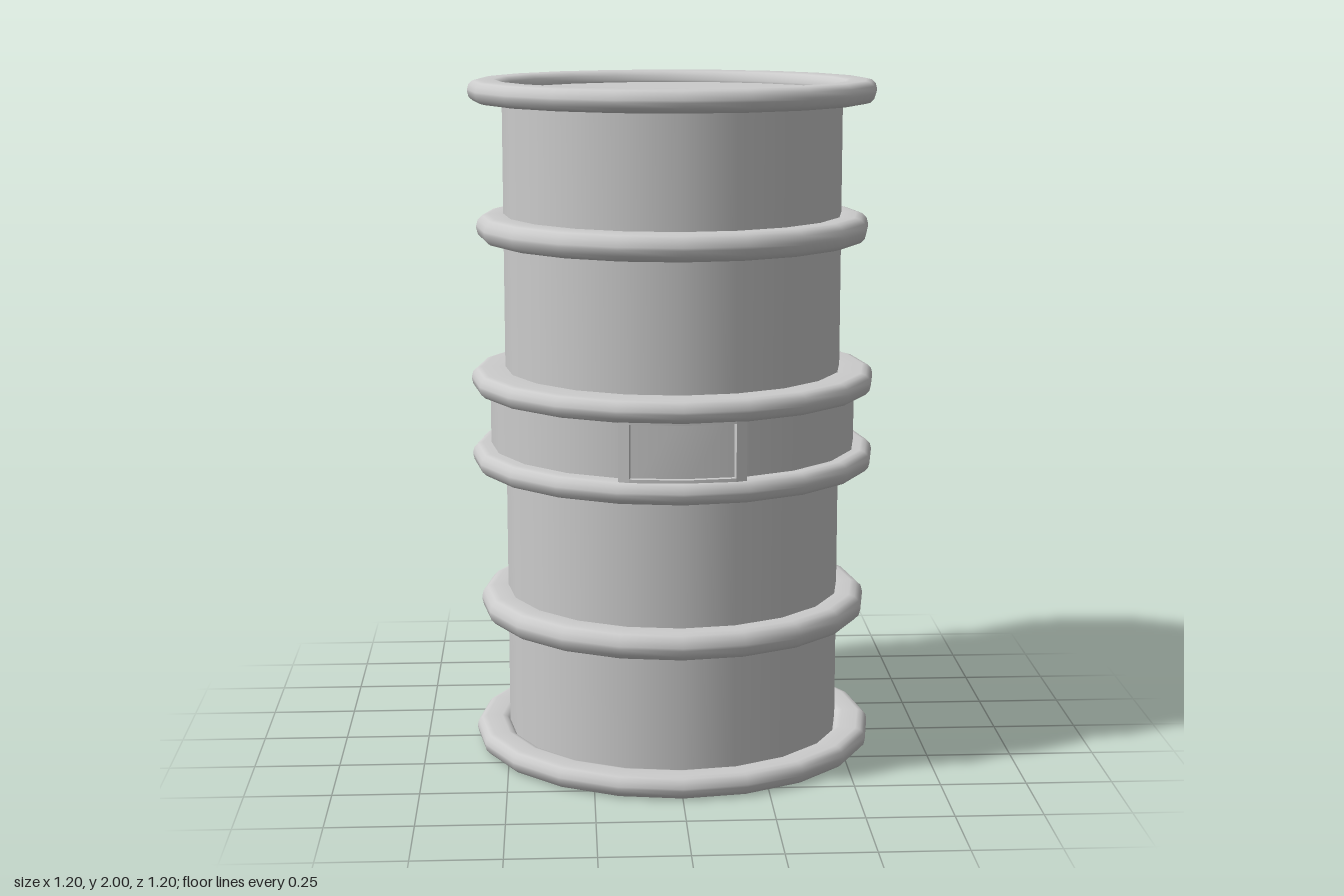
import * as THREE from 'three';

const SIDES = 20;
const material = new THREE.MeshStandardMaterial({ color: 0xcccccc });

function addMesh(group, name, geometry) {
  const mesh = new THREE.Mesh(geometry, material);
  mesh.name = name;
  group.add(mesh);
  return mesh;
}

// Closed hoop with a rounded rectangular cross-section
function hoopGeometry(inner, outer, bottom, top) {
  const corner = (top - bottom) * 0.45;
  const points = [];
  const corners = [
    [outer - corner, bottom + corner, -Math.PI / 2],
    [outer - corner, top - corner, 0],
    [inner + corner, top - corner, Math.PI / 2],
    [inner + corner, bottom + corner, Math.PI],
  ];
  for (const [r, y, start] of corners) {
    for (let i = 0; i <= 3; i++) {
      const a = start + (i / 3) * Math.PI / 2;
      points.push(new THREE.Vector2(r + corner * Math.cos(a), y + corner * Math.sin(a)));
    }
  }
  points.push(points[0].clone());
  return new THREE.LatheGeometry(points, SIDES);
}

// Box wrapped around the barrel: x becomes the angle, z the radius
function wrappedBox(a0, a1, y0, y1, r0, r1, segments) {
  const geometry = new THREE.BoxGeometry(a1 - a0, y1 - y0, r1 - r0, segments, 1, 1);
  geometry.translate((a0 + a1) / 2, (y0 + y1) / 2, (r0 + r1) / 2);
  const p = geometry.attributes.position;
  for (let i = 0; i < p.count; i++) {
    const a = p.getX(i), r = p.getZ(i);
    p.setXYZ(i, r * Math.sin(a), p.getY(i), r * Math.cos(a));
  }
  geometry.computeVertexNormals();
  return geometry;
}

export function createModel() {
  const barrel = new THREE.Group();
  barrel.name = 'barrel';

  // Drum with lids set just below the rims
  const body = addMesh(barrel, 'body', new THREE.CylinderGeometry(0.5, 0.5, 1.93, SIDES));
  body.position.y = 1;

  // Rims and hoops: name, inner radius, outer radius, bottom, top
  const hoops = [
    ['bottomRim', 0.495, 0.6, 0, 0.065],
    ['lowerHoop', 0.46, 0.58, 0.4, 0.48],
    ['lowerBandHoop', 0.46, 0.6, 0.855, 0.922],
    ['upperBandHoop', 0.46, 0.6, 1.085, 1.152],
    ['upperHoop', 0.46, 0.58, 1.53, 1.608],
    ['topRim', 0.495, 0.6, 1.935, 2],
  ];
  for (const [name, inner, outer, bottom, top] of hoops) {
    addMesh(barrel, name, hoopGeometry(inner, outer, bottom, top));
  }

  // Raised middle band
  const band = addMesh(barrel, 'middleBand',
    new THREE.CylinderGeometry(0.545, 0.545, 0.2, SIDES));
  band.position.y = 1.003;

  // Framed plate on the front of the band
  const plate = new THREE.Group();
  plate.name = 'frontPlate';
  barrel.add(plate);
  const edge = Math.PI / 10, post = 0.26;
  addMesh(plate, 'platePanel', wrappedBox(-post, post, 0.9, 1.11, 0.5, 0.562, 2));
  for (const side of [-1, 1]) {
    const [a0, a1] = side < 0 ? [-edge, -post] : [post, edge];
    addMesh(plate, side < 0 ? 'rightPost' : 'leftPost',
      wrappedBox(a0, a1, 0.9, 1.11, 0.5, 0.58, 1));
  }
  addMesh(plate, 'bottomRail', wrappedBox(-post, post, 0.9, 0.928, 0.5, 0.58, 2));
  addMesh(plate, 'topRail', wrappedBox(-post, post, 1.082, 1.11, 0.5, 0.58, 2));

  return barrel;
}
